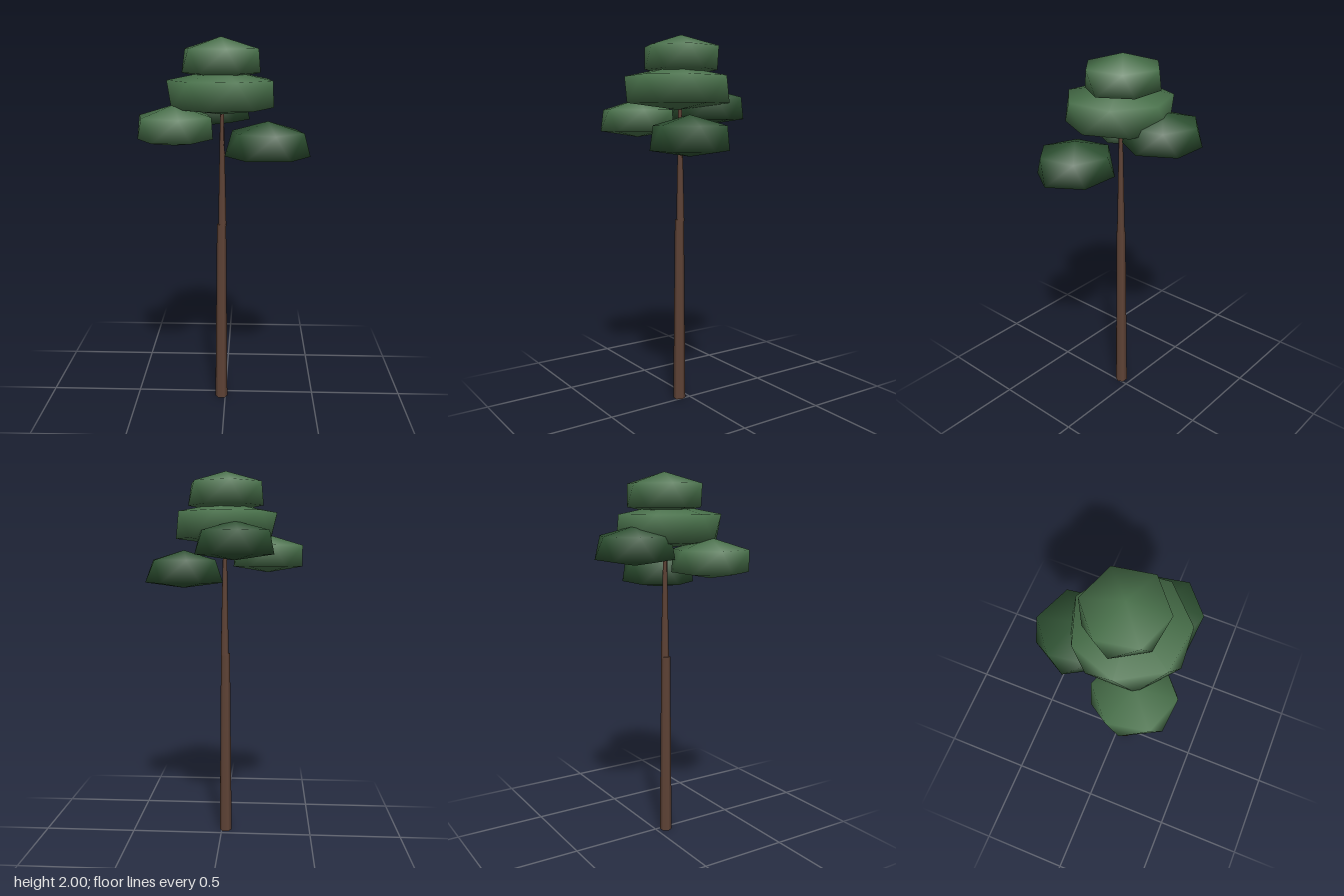
import * as THREE from 'three';

const mat = (name, color) => {
  const m = new THREE.MeshStandardMaterial({ color });
  m.name = name;
  return m;
};

// Flattened crown: two twisted rings of n points closed by a top and a bottom point
function crownGeometry({ n, up, low, ring, top, bottom, twist }) {
  const pos = [0, top, 0, 0, -bottom, 0];
  const index = [];
  const step = (Math.PI * 2) / n;
  for (let i = 0; i < n; i++) {
    const a = i * step;
    const b = a + THREE.MathUtils.degToRad(twist);
    pos.push(Math.cos(b) * up, ring, Math.sin(b) * up);
    pos.push(Math.cos(a) * low[0], -ring, Math.sin(a) * low[1]);
  }
  for (let i = 0; i < n; i++) {
    const j = (i + 1) % n;
    const u0 = 2 + i * 2, l0 = u0 + 1, u1 = 2 + j * 2, l1 = u1 + 1;
    index.push(0, u1, u0, u0, u1, l1, u0, l1, l0, 1, l0, l1);
  }
  const g = new THREE.BufferGeometry();
  g.setAttribute('position', new THREE.Float32BufferAttribute(pos, 3));
  g.setIndex(index);
  g.computeVertexNormals();
  return g;
}

// Six-sided tapered trunk piece leaning from point a to point b
function trunkPiece(name, a, b, r0, r1, material) {
  const from = new THREE.Vector3(...a), to = new THREE.Vector3(...b);
  const h = to.y - from.y;
  const g = new THREE.CylinderGeometry(r1, r0, h, 6, 1, false, Math.PI / 2);
  // shear sideways so both ends stay level
  const p = g.attributes.position;
  for (let i = 0; i < p.count; i++) {
    const t = p.getY(i) / h + 0.5;
    p.setX(i, p.getX(i) + (to.x - from.x) * t);
    p.setZ(i, p.getZ(i) + (to.z - from.z) * t);
  }
  const m = new THREE.Mesh(g, material);
  m.name = name;
  m.position.set(from.x, from.y + h / 2, from.z);
  return m;
}

export function createModel() {
  const tree = new THREE.Group();
  tree.name = 'tree';
  const bark = mat('bark brown', 0x5f4336);
  const light = mat('light needle green', 0x48704a);
  const dark = mat('dark needle green', 0x2f5233);

  // Trunk
  tree.add(
    trunkPiece('lowerTrunk', [-0.022, 0, 0.056], [-0.02, 1.02, 0.054], 0.034, 0.025, bark),
    trunkPiece('upperTrunk', [-0.016, 1.01, 0.051], [-0.017, 1.72, 0.05], 0.022, 0.008, bark)
  );

  // Foliage crowns
  const crowns = [
    { name: 'topCrown', at: [-0.022, 1.88, 0.04], material: light,
      n: 6, up: 0.205, low: [0.203, 0.19], ring: 0.06, top: 0.12, bottom: 0.1, twist: 20 },
    { name: 'mainCrown', at: [-0.02, 1.715, 0.065], material: light,
      n: 7, up: 0.28, low: [0.272, 0.28], ring: 0.07, top: 0.125, bottom: 0.105, twist: 20 },
    { name: 'leftCrown', at: [0.22, 1.468, 0.15], material: dark,
      n: 6, up: 0.193, low: [0.22, 0.195], ring: 0.063, top: 0.117, bottom: 0.092, twist: 19 },
    { name: 'rightCrown', at: [-0.25, 1.553, 0.178], material: light,
      n: 6, up: 0.2, low: [0.192, 0.205], ring: 0.058, top: 0.117, bottom: 0.09, twist: 19 },
    { name: 'backCrown', at: [-0.078, 1.62, -0.17], material: dark,
      n: 6, up: 0.195, low: [0.205, 0.205], ring: 0.06, top: 0.11, bottom: 0.09, twist: 22 },
  ];
  for (const c of crowns) {
    const m = new THREE.Mesh(crownGeometry(c), c.material);
    m.name = c.name;
    m.position.set(...c.at);
    tree.add(m);
  }
  return tree;
}
